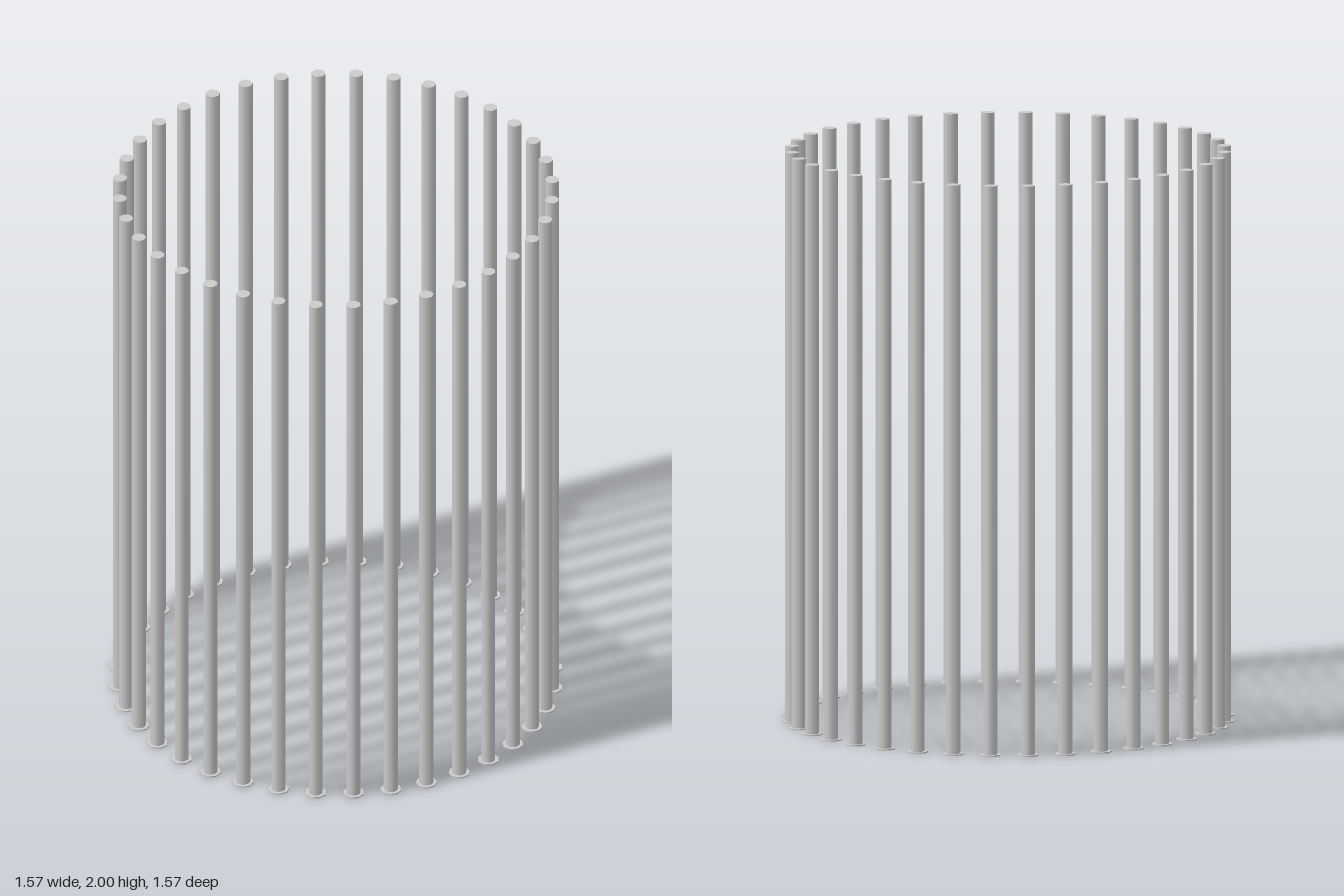
import * as THREE from 'three';

const COUNT = 36;
const RING_RADIUS = 0.75;
const SIDES = 8;

export function createModel() {
  const model = new THREE.Group();
  model.name = 'barCage';
  const material = new THREE.MeshStandardMaterial({ color: 0xcccccc });

  // Upright bar and the thin foot plate it stands on
  const footHeight = 0.005;
  const barGeometry = new THREE.CylinderGeometry(0.025, 0.025, 2, SIDES);
  barGeometry.rotateY(Math.PI / SIDES).translate(0, 1, 0);
  const footGeometry = new THREE.CylinderGeometry(0.037, 0.037, footHeight, SIDES);
  footGeometry.rotateY(Math.PI / SIDES).translate(0, footHeight / 2, 0);

  // Circle of evenly spaced bars
  for (let i = 0; i < COUNT; i++) {
    const angle = (i / COUNT) * Math.PI * 2;
    const post = new THREE.Group();
    post.name = `post${i + 1}`;
    const bar = new THREE.Mesh(barGeometry, material);
    bar.name = 'bar';
    const foot = new THREE.Mesh(footGeometry, material);
    foot.name = 'foot';
    post.add(bar, foot);
    post.position.set(Math.sin(angle) * RING_RADIUS, 0, Math.cos(angle) * RING_RADIUS);
    post.rotation.y = angle;
    model.add(post);
  }
  return model;
}
